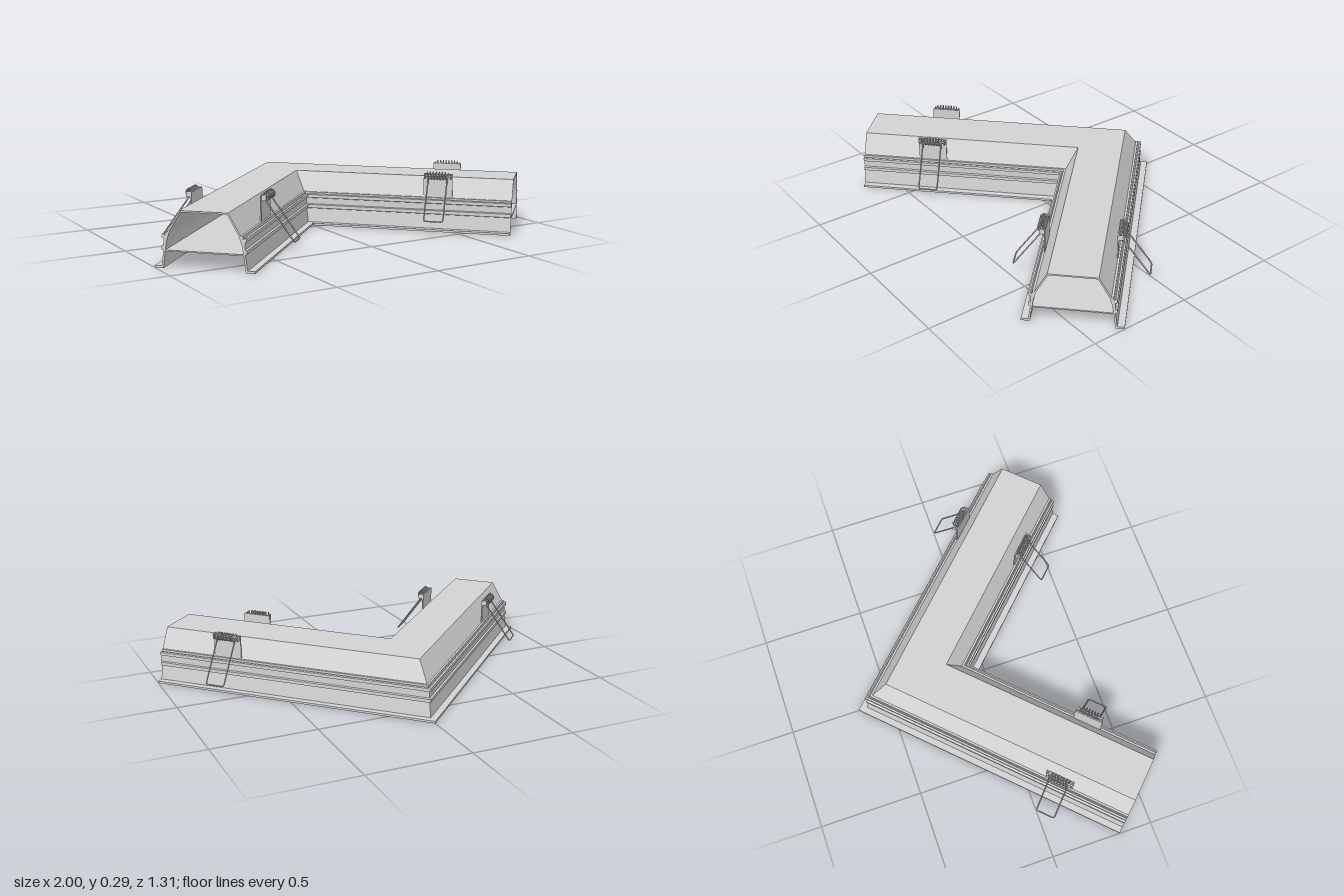
import * as THREE from 'three';

const S2 = Math.SQRT2;
const MID = 0.345;   // mitre offset of the arm centreline
const END = 1.34;    // x + z at the open arm ends

// Sweep a closed counter-clockwise (u, y) section along both arms, mitred at the corner
function mitredSweep(section) {
  const stations = [
    ([u, y]) => [-(END + MID + u * S2) / 2, y, (END - MID - u * S2) / 2],
    ([u, y]) => [0, y, -(MID + u * S2)],
    ([u, y]) => [(END + MID + u * S2) / 2, y, (END - MID - u * S2) / 2],
  ];
  const pos = [];
  const n = section.length;
  for (let s = 0; s < 2; s++) {
    for (let i = 0; i < n; i++) {
      const a = section[i], b = section[(i + 1) % n];
      const a0 = stations[s](a), b0 = stations[s](b);
      const a1 = stations[s + 1](a), b1 = stations[s + 1](b);
      pos.push(...a0, ...b0, ...b1, ...a0, ...b1, ...a1);
    }
  }
  // cut faces at both ends
  const contour = section.map(([u, y]) => new THREE.Vector2(u, y));
  for (const [i, j, k] of THREE.ShapeUtils.triangulateShape(contour, [])) {
    for (const q of [i, j, k]) pos.push(...stations[2](section[q]));
    for (const q of [k, j, i]) pos.push(...stations[0](section[q]));
  }
  const g = new THREE.BufferGeometry();
  g.setAttribute('position', new THREE.Float32BufferAttribute(pos, 3));
  g.computeVertexNormals();
  return g;
}

class Helix extends THREE.Curve {
  constructor(length, radius, turns) {
    super();
    Object.assign(this, { length, radius, turns });
  }
  getPoint(t, target = new THREE.Vector3()) {
    const a = t * this.turns * Math.PI * 2;
    return target.set((t - 0.5) * this.length, Math.cos(a) * this.radius, Math.sin(a) * this.radius);
  }
}

// Polyline with rounded corners
function roundedPath(pts, r) {
  const path = new THREE.CurvePath();
  let from = pts[0];
  for (let i = 1; i < pts.length - 1; i++) {
    const p = pts[i];
    const before = p.clone().add(pts[i - 1].clone().sub(p).setLength(r));
    const after = p.clone().add(pts[i + 1].clone().sub(p).setLength(r));
    path.add(new THREE.LineCurve3(from, before));
    path.add(new THREE.QuadraticBezierCurve3(before, p, after));
    from = after;
  }
  path.add(new THREE.LineCurve3(from, pts[pts.length - 1]));
  return path;
}

export function createModel() {
  const model = new THREE.Group();
  model.name = 'cornerLightHousing';
  const metal = new THREE.MeshStandardMaterial({ color: 0xd3d3d3 });
  metal.name = 'light grey metal';

  const add = (parent, name, geometry, x = 0, y = 0, z = 0) => {
    const mesh = new THREE.Mesh(geometry, metal);
    mesh.name = name;
    mesh.position.set(x, y, z);
    parent.add(mesh);
  };
  const mirror = (half) => half.map(([u, y]) => [-u, y]).reverse();

  // Channel: flange, ribbed wall, sloped shoulder and flat top, open below
  const outside = [
    [0.2225, 0], [0.2225, 0.010], [0.191, 0.010], [0.181, 0.078],
    [0.189, 0.081], [0.189, 0.097], [0.180, 0.100], [0.180, 0.130],
    [0.188, 0.133], [0.188, 0.148], [0.180, 0.151], [0.176, 0.145],
    [0.172, 0.145], [0.172, 0.158], [0.162, 0.158], [0.108, 0.253],
  ];
  const inside = [[0.183, 0], [0.173, 0.078], [0.166, 0.120], [0.154, 0.156], [0.104, 0.246]];
  add(model, 'housing', mitredSweep([
    ...outside, ...mirror(outside), ...inside.map(([u, y]) => [-u, y]), ...inside.slice().reverse(),
  ]));

  // Recessed panel between the walls
  add(model, 'diffuser', mitredSweep([
    [-0.175, 0.074], [0.175, 0.074], [0.174, 0.080], [-0.174, 0.080],
  ]));

  // Spring clip, facing local +z
  const coil = new THREE.TubeGeometry(new Helix(0.10, 0.017, 7), 160, 0.0035, 6);
  const v = (x, y, z) => new THREE.Vector3(x, y, z);
  const loop = new THREE.TubeGeometry(roundedPath([
    v(-0.046, 0.258, 0.172), v(-0.046, 0.068, 0.308), v(0.046, 0.068, 0.308), v(0.046, 0.258, 0.172),
  ], 0.012), 90, 0.0035, 6);
  const pin = new THREE.CylinderGeometry(0.005, 0.005, 0.13, 8).rotateZ(Math.PI / 2);

  const makeClip = (name) => {
    const clip = new THREE.Group();
    clip.name = name;
    add(clip, 'bracketPlate', new THREE.BoxGeometry(0.14, 0.125, 0.006), 0, 0.2125, 0.161);
    for (const s of [-1, 1]) {
      add(clip, 'bracketEar', new THREE.BoxGeometry(0.005, 0.026, 0.022), s * 0.0625, 0.264, 0.174);
    }
    add(clip, 'springPin', pin, 0, 0.268, 0.178);
    add(clip, 'coilSpring', coil, 0, 0.268, 0.178);
    add(clip, 'wireLoop', loop);
    return clip;
  };

  // One clip on each side of each arm
  for (const s of [-1, 1]) {
    const side = s > 0 ? 'left' : 'right';
    for (const [where, angle] of [['Outer', 3 * Math.PI / 4], ['Inner', -Math.PI / 4]]) {
      const clip = makeClip(side + where + 'Clip');
      clip.position.set(s * 0.59, 0, 0.245);
      clip.rotation.y = s * angle;
      model.add(clip);
    }
  }
  return model;
}
